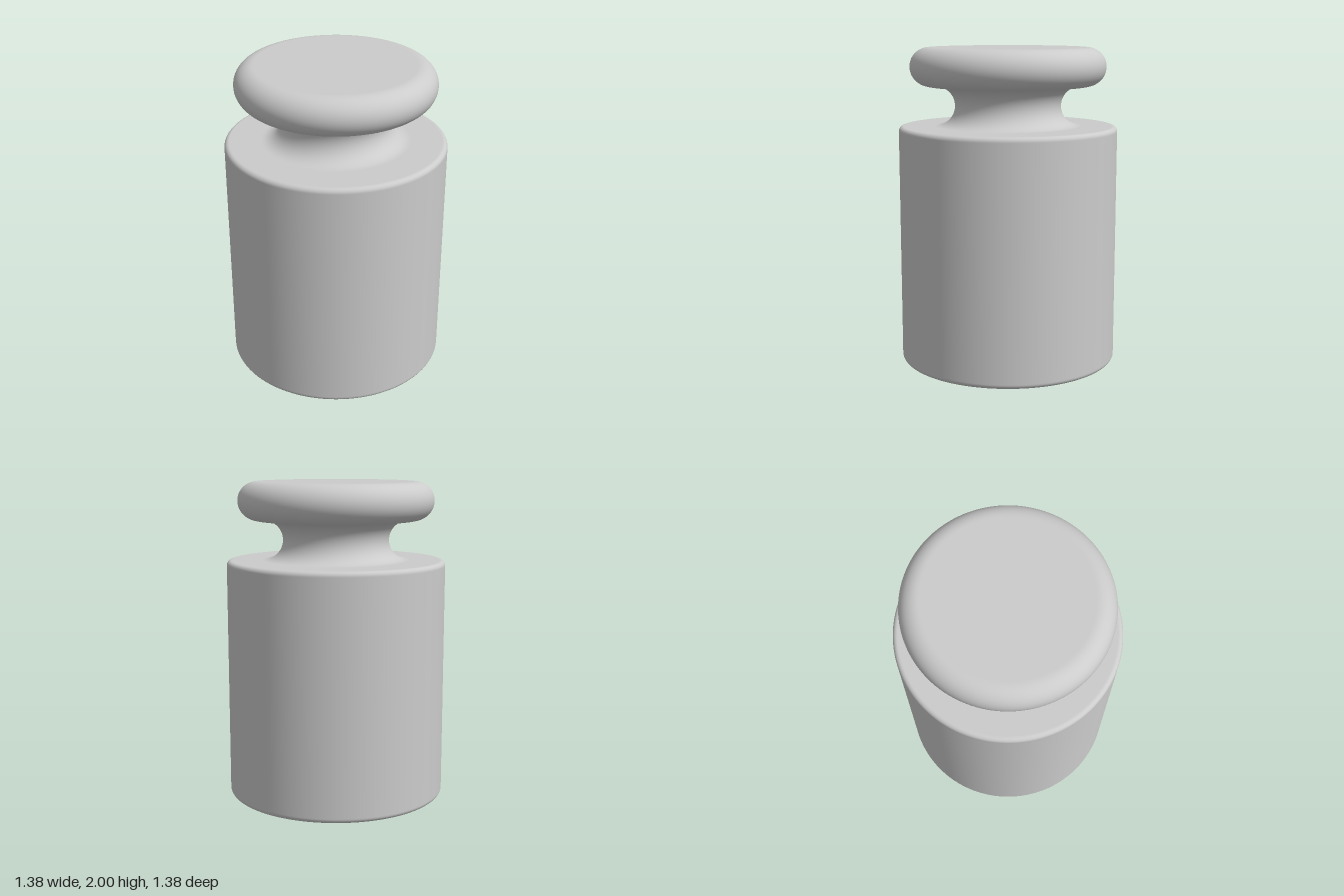
import * as THREE from 'three';

const SEGMENTS = 128;

// Points along a circular arc in the profile plane, angles in degrees
function arc(cx, cy, r, from, to, steps) {
  return Array.from({ length: steps + 1 }, (_, i) => {
    const a = THREE.MathUtils.degToRad(from + (to - from) * i / steps);
    return new THREE.Vector2(cx + r * Math.cos(a), cy + r * Math.sin(a));
  });
}

const p = (x, y) => new THREE.Vector2(x, y);

export function createModel() {
  const group = new THREE.Group();
  group.name = 'calibrationWeight';
  const material = new THREE.MeshStandardMaterial({ color: 0xcccccc });

  // Profiles run from bottom to top; points close to the arcs keep the flats evenly shaded
  const profiles = {
    // Cylinder with small rounded rims
    body: [
      p(0, 0), p(0.655, 0),
      ...arc(0.66, 0.03, 0.03, -90, 0, 10),
      p(0.69, 0.035), p(0.69, 1.475),
      ...arc(0.66, 1.48, 0.03, 0, 90, 10),
      p(0.655, 1.51), p(0.46, 1.51),
    ],
    // Concave half-round groove
    neck: arc(0.46, 1.635, 0.125, -90, -270, 32),
    // Disc with a fully rounded edge
    knob: [
      p(0.46, 1.76), p(0.492, 1.76),
      ...arc(0.497, 1.88, 0.12, -90, 90, 32),
      p(0.492, 2), p(0, 2),
    ],
  };

  for (const [name, profile] of Object.entries(profiles)) {
    const mesh = new THREE.Mesh(new THREE.LatheGeometry(profile, SEGMENTS), material);
    mesh.name = name;
    group.add(mesh);
  }
  return group;
}
